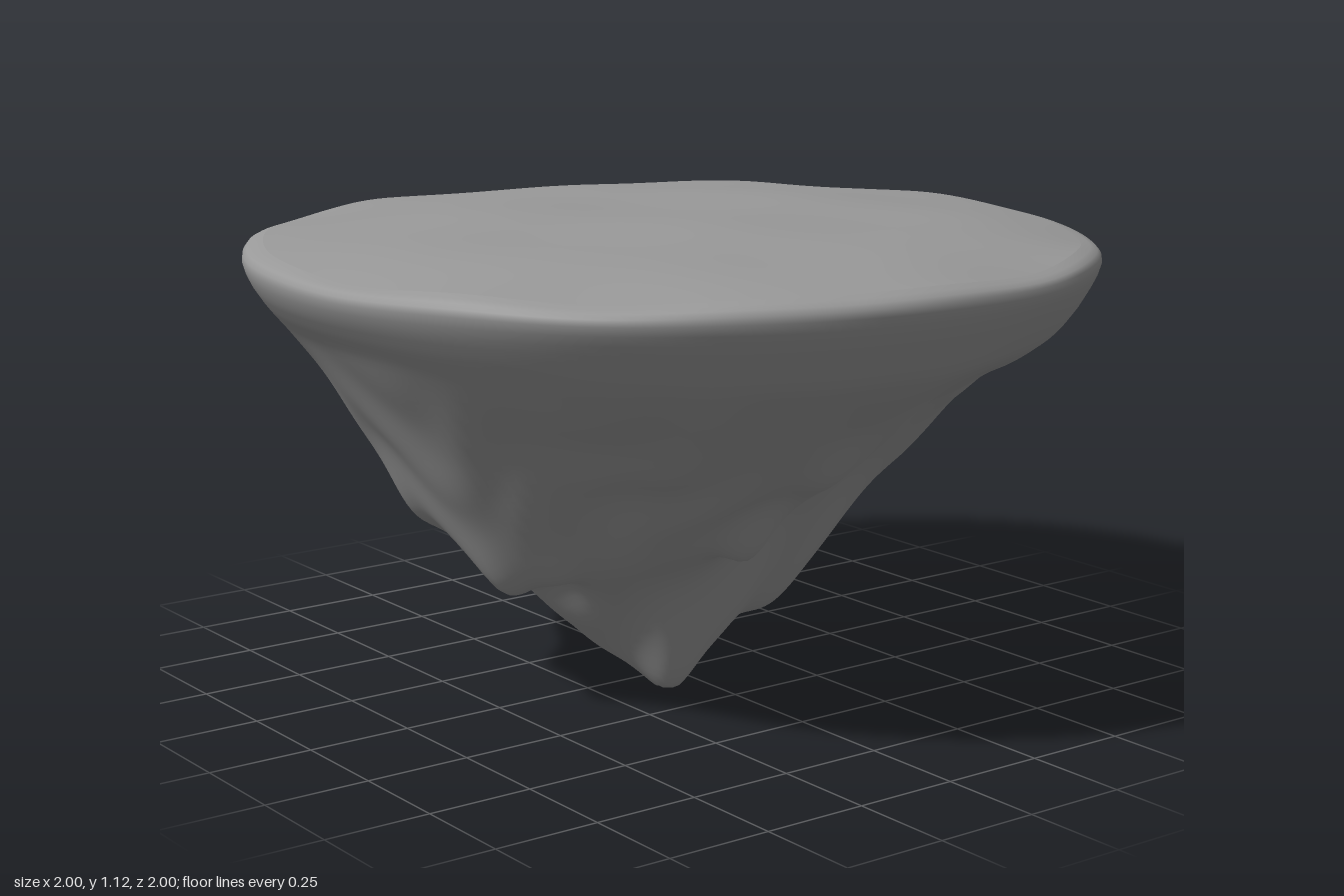
import * as THREE from 'three';

const SEG = 160;

// Underside heights, one row per 45 degrees from +x towards +z
const RADII = [0, 0.15, 0.3, 0.45, 0.6, 0.75, 0.9, 0.95, 0.98];
const HEIGHTS = [
  [0.09, 0.10, 0.37, 0.50, 0.60, 0.74, 0.86, 0.93, 0.98],
  [0.09, 0.08, 0.26, 0.39, 0.54, 0.70, 0.86, 0.93, 0.98],
  [0.09, 0.07, 0.17, 0.34, 0.43, 0.66, 0.88, 0.94, 0.98],
  [0.09, 0.14, 0.31, 0.41, 0.56, 0.71, 0.87, 0.93, 0.98],
  [0.09, 0.24, 0.40, 0.60, 0.71, 0.80, 0.88, 0.93, 0.98],
  [0.09, 0.19, 0.39, 0.54, 0.66, 0.76, 0.87, 0.93, 0.98],
  [0.09, 0.13, 0.18, 0.35, 0.49, 0.64, 0.85, 0.94, 0.98],
  [0.09, 0.13, 0.34, 0.53, 0.65, 0.76, 0.87, 0.93, 0.98],
];

// Hanging spurs (positive depth) and hollows (negative): x, z, depth, width
const SPURS = [
  [0.12, 0.09, 0.07, 0.05],
  [0.03, 0.06, 0.05, 0.05],
  [-0.3, -0.08, 0.17, 0.062],
  [0.43, 0.1, 0.07, 0.045],
  [0.05, 0.5, 0.09, 0.055],
  [0.17, 0.46, 0.06, 0.05],
  [0.09, 0.37, -0.03, 0.05],
  [-0.12, 0.46, 0.03, 0.06],
  [-0.26, 0.58, 0.06, 0.09],
  [0.6, 0.02, 0.03, 0.05],
  [0.2, -0.58, 0.04, 0.09],
  [0.12, -0.39, 0.05, 0.07],
  [0.04, -0.27, 0.04, 0.06],
  [0.32, 0.36, 0.03, 0.07],
  [0.5, -0.32, -0.04, 0.1],
  [0.7, -0.25, -0.03, 0.09],
  [0.3, -0.12, -0.04, 0.08],
];

function cubic(a, b, c, d, t) {
  return b + 0.5 * t * (c - a + t * (2 * a - 5 * b + 4 * c - d + t * (3 * (b - c) + d - a)));
}

// Height along one of the eight profiles
function profileHeight(row, r) {
  let i = 0;
  while (i < RADII.length - 2 && r > RADII[i + 1]) i++;
  const b = row[i], c = row[i + 1], span = RADII[i + 1] - RADII[i];
  // Slopes from the neighbouring points, for uneven spacing
  const slope = (k) => {
    const lo = Math.max(k - 1, 0), hi = Math.min(k + 1, row.length - 1);
    return (row[hi] - row[lo]) / (RADII[hi] - RADII[lo]) * span;
  };
  return cubic(c - 2 * slope(i), b, c, b + 2 * slope(i + 1), (r - RADII[i]) / span);
}

// Height of the rocky underside at a radius and angle
function undersideHeight(r, angle) {
  const s = (angle / (Math.PI * 2)) * 8;
  const i = Math.floor(s);
  const h = (k) => profileHeight(HEIGHTS[(i + k + 8) % 8], r);
  let y = cubic(h(-1), h(0), h(1), h(2), s - i);
  const x = r * Math.cos(angle), z = r * Math.sin(angle);
  for (const [sx, sz, depth, width] of SPURS) {
    y -= depth * Math.exp(-((x - sx) ** 2 + (z - sz) ** 2) / (2 * width * width));
  }
  // Rough rock, fading out towards the rim
  const fade = Math.max(0, Math.min(1, (0.92 - r) * 4)) * Math.min(1, r * 3);
  y += fade * (0.01 * Math.sin(11 * x + 2 * Math.sin(7 * z)) * Math.cos(9 * z + 1.5 * Math.sin(8 * x))
    + 0.007 * Math.sin(23 * z + 9 * y + 2 * Math.sin(13 * x)));
  return Math.max(y, 0);
}

// Uneven height around the edge of the ground
function edgeWave(angle) {
  return 0.005 * Math.sin(3 * angle + 1) + 0.004 * Math.sin(7 * angle) + 0.003 * Math.sin(11 * angle + 2);
}

// Rings of points; point(row, angle) returns [radius, height]
function ringSurface(name, rows, point) {
  const positions = [], index = [];
  for (let i = 0; i < rows; i++) {
    for (let j = 0; j < SEG; j++) {
      const angle = (j / SEG) * Math.PI * 2;
      const [r, y] = point(i, angle);
      positions.push(r * Math.cos(angle), y, r * Math.sin(angle));
      if (i === rows - 1) continue;
      const a = i * SEG + j, b = i * SEG + ((j + 1) % SEG);
      index.push(a, a + SEG, b + SEG, a, b + SEG, b);
    }
  }
  const geometry = new THREE.BufferGeometry();
  geometry.setAttribute('position', new THREE.Float32BufferAttribute(positions, 3));
  geometry.setIndex(index);
  geometry.computeVertexNormals();
  const mesh = new THREE.Mesh(geometry, new THREE.MeshStandardMaterial({ color: 0x999999 }));
  mesh.name = name;
  return mesh;
}

export function createModel() {
  const group = new THREE.Group();
  group.name = 'floatingIsland';

  // Craggy cone of rock, turning up into a rounded rim
  const rim = [[0.992, 1.004], [0.999, 1.026], [0.997, 1.042], [0.988, 1.053], [0.972, 1.06], [0.95, 1.066]];
  const rows = 80;
  group.add(ringSurface('rockUnderside', rows + rim.length, (i, angle) => {
    if (i < rows) {
      const r = 0.98 * i / (rows - 1);
      return [r, undersideHeight(r, angle)];
    }
    const k = i - rows;
    return [rim[k][0], rim[k][1] + edgeWave(angle) * (k + 1) / rim.length];
  }));

  // Gently domed, uneven ground
  const topRows = 30;
  group.add(ringSurface('groundTop', topRows + 1, (i, angle) => {
    const t = 1 - i / topRows;
    const r = 0.95 * t;
    const x = r * Math.cos(angle), z = r * Math.sin(angle);
    const bumps = 0.005 * Math.sin(7 * x + 2 * z) * Math.cos(8 * z - 2 * x);
    return [r, 1.114 - 0.048 * t ** 3 + edgeWave(angle) * t ** 4 + bumps * (1 - t ** 4)];
  }));

  return group;
}
